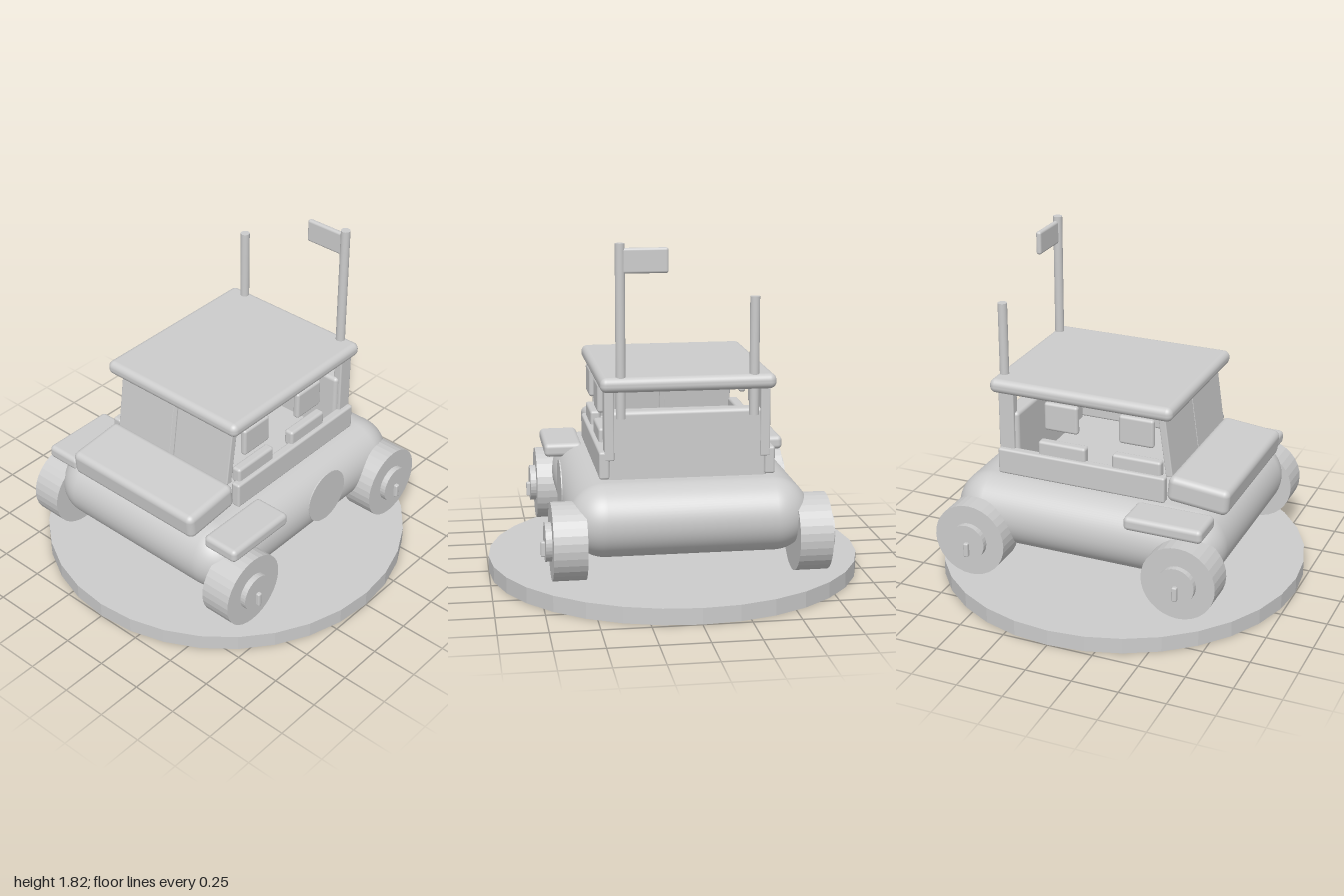
import * as THREE from 'three';
import { RoundedBoxGeometry } from 'three/addons/geometries/RoundedBoxGeometry.js';

export function createModel() {
  const model = new THREE.Group();
  model.name = 'offRoadCar';
  const grey = new THREE.MeshStandardMaterial({ color: 0xcccccc });
  grey.name = 'lightGrey';

  function add(name, geometry, x, y, z, parent = model) {
    const mesh = new THREE.Mesh(geometry, grey);
    mesh.name = name;
    mesh.position.set(x, y, z);
    parent.add(mesh);
    return mesh;
  }
  // Rounded box given by its extents on each axis
  function block(name, [x0, x1], [y0, y1], [z0, z1], radius, segments = 4) {
    return add(name, new RoundedBoxGeometry(x1 - x0, y1 - y0, z1 - z0, segments, radius),
      (x0 + x1) / 2, (y0 + y1) / 2, (z0 + z1) / 2);
  }
  // Extents mirrored to the chosen side
  const span = (side, a, b) => (side > 0 ? [a, b] : [-b, -a]);
  // Faceted cylinder, optionally lying along x
  function facetedCylinder(radius, length, alongX) {
    const g = new THREE.CylinderGeometry(radius, radius, length, 32).toNonIndexed();
    g.computeVertexNormals();
    return alongX ? g.rotateZ(Math.PI / 2) : g;
  }

  // Display base
  add('base', facetedCylinder(1, 0.085, false), 0, 0.0425, 0);

  // Body and hood
  block('body', [-0.62, 0.62], [0.24, 0.62], [-0.76, 0.755], 0.189, 10);
  const hood = add('hood', new RoundedBoxGeometry(0.85, 0.142, 0.335, 4, 0.035), 0, 0.682, 0.58);
  hood.rotation.x = 0.1;

  // Wheels with hubs and bolts
  for (const side of [-1, 1]) {
    for (const z of [-0.588, 0.588]) {
      const wheel = new THREE.Group();
      wheel.name = (z > 0 ? 'front' : 'rear') + (side > 0 ? 'Left' : 'Right') + 'Wheel';
      wheel.position.set(side * 0.62, 0.33, z);
      model.add(wheel);
      add('tyre', facetedCylinder(0.2, 0.17, true), 0, 0, 0, wheel);
      add('hub', facetedCylinder(0.1, 0.05, true), side * 0.092, 0, 0, wheel);
      add('bolt', new RoundedBoxGeometry(0.04, 0.08, 0.028, 2, 0.008), side * 0.117, -0.037, 0, wheel);
    }
  }

  // Round plate on the left flank
  add('sidePlate', facetedCylinder(0.15, 0.006, true), 0.62, 0.48, -0.11);

  for (const side of [-1, 1]) {
    // Front fenders and low side walls
    block('fender', span(side, 0.46, 0.67), [0.55, 0.625], [0.272, 0.695], 0.025);
    block('sideWall', span(side, 0.4, 0.452), [0.625, 0.767], [-0.535, 0.412], 0.012);
    // Arm rests and hanging window panels
    for (const z of [[0.11, 0.382], [-0.31, -0.04]]) {
      block('armRest', span(side, 0.375, 0.43), [0.75, 0.84], z, 0.015);
    }
    for (const z of [[0.15, 0.342], [-0.27, -0.08]]) {
      block('windowPanel', span(side, 0.395, 0.432), [0.912, 1.067], z, 0.015);
    }
    // Rear posts
    block('rearPost', span(side, 0.375, 0.425), [0.72, 1.09], [-0.537, -0.45], 0.008);
  }

  // Windscreen with a central bar, leaning back
  const screen = new THREE.Group();
  screen.name = 'windscreen';
  screen.position.set(0, 0.92, 0.39);
  screen.rotation.x = -0.14;
  model.add(screen);
  for (const side of [-1, 1]) {
    add('pane', new RoundedBoxGeometry(0.375, 0.34, 0.038, 2, 0.006), side * 0.2, 0, 0, screen);
  }
  add('centreBar', new THREE.BoxGeometry(0.026, 0.34, 0.042), 0, 0, 0, screen);

  // Rear panel and roof
  block('rearPanel', [-0.41, 0.41], [0.6, 0.97], [-0.525, -0.43], 0.02);
  block('roof', [-0.45, 0.447], [1.075, 1.152], [-0.582, 0.443], 0.034);

  // Poles through the roof, and the flag
  for (const [name, x, top] of [['flagPole', 0.342, 1.82], ['aerial', -0.338, 1.545]]) {
    add(name, new THREE.CylinderGeometry(0.025, 0.025, top - 0.94, 20), x, (top + 0.94) / 2, -0.54);
  }
  block('flag', [0.1, 0.335], [1.67, 1.797], [-0.558, -0.528], 0.013);

  return model;
}
